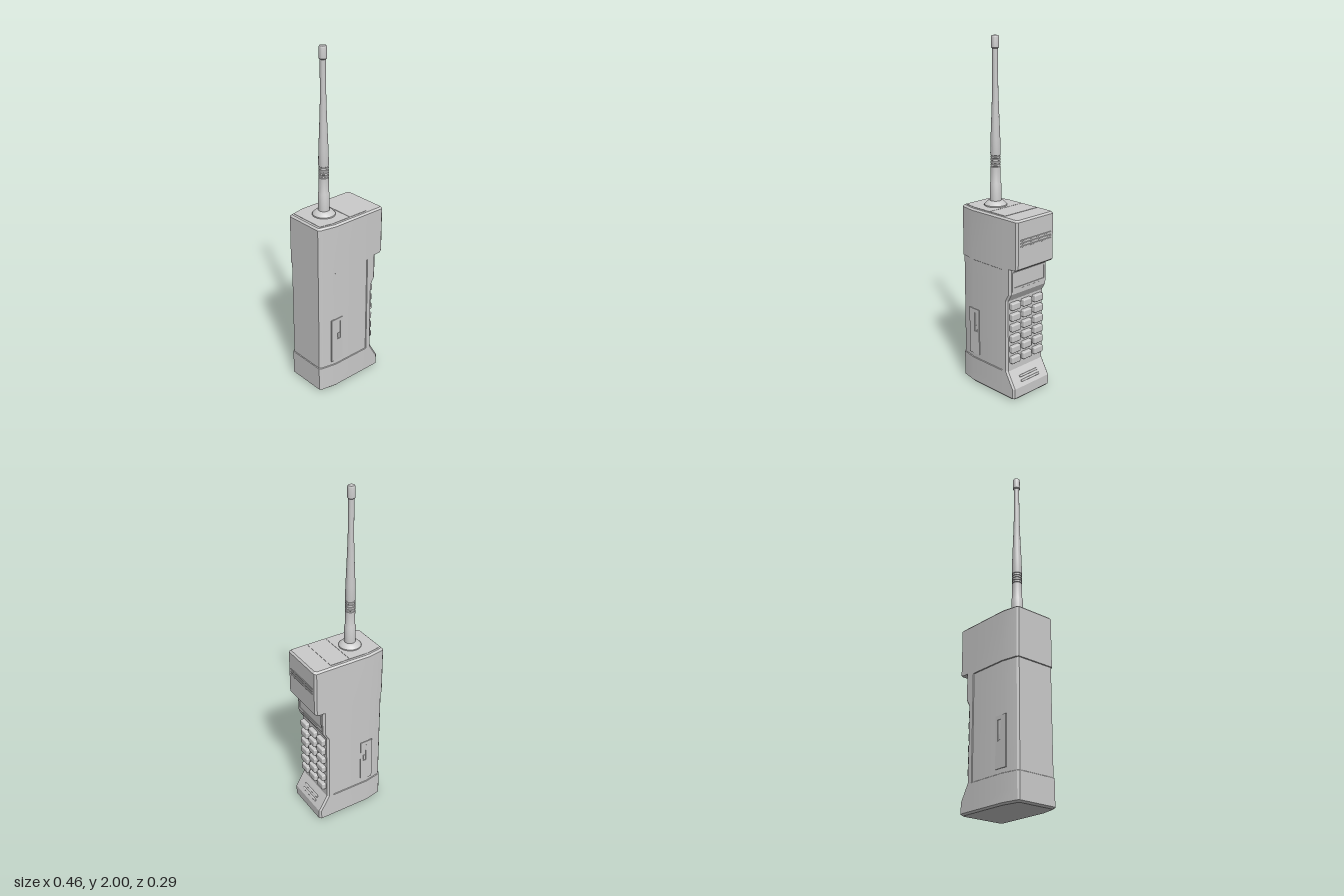
import * as THREE from 'three';
import { toCreasedNormals } from 'three/addons/utils/BufferGeometryUtils.js';
import { RoundedBoxGeometry } from 'three/addons/geometries/RoundedBoxGeometry.js';

const grey = new THREE.MeshStandardMaterial({ color: 0xcccccc });

function add(parent, name, geometry, x = 0, y = 0, z = 0) {
  const mesh = new THREE.Mesh(geometry, grey);
  mesh.name = name;
  mesh.position.set(x, y, z);
  parent.add(mesh);
  return mesh;
}

// Horizontal outline of the case: front = x of the keypad side, e = bevel inset, p = battery panel inset
function section(y, front, e, p) {
  const half = [
    [-0.23 + e + p, 0.118 - e - p], [-0.22 + e + p, 0.127 - e - p], [-0.125, 0.145 - e - p],
    [0.112, 0.145 - e - p], [0.115, 0.145 - e], [front - 0.012 - e, 0.145 - e], [front - e, 0.135 - e],
  ];
  const mirrored = half.map(([x, z]) => [x, -z]).reverse();
  return [...half, ...mirrored].map(([x, z]) => new THREE.Vector3(x, y, z));
}

// Skin stacked outlines, with a cap at both ends
function loft(rings) {
  const pos = [];
  const tri = (...pts) => pts.forEach((v) => pos.push(v.x, v.y, v.z));
  const n = rings[0].length;
  const last = rings.length - 1;
  const middle = (r) => r.reduce((s, v) => s.add(v), new THREE.Vector3()).divideScalar(n);
  const bottom = middle(rings[0]), top = middle(rings[last]);
  for (let i = 0; i < n; i++) {
    const k = (i + 1) % n;
    for (let j = 0; j < last; j++) {
      const a = rings[j][i], b = rings[j][k], c = rings[j + 1][k], d = rings[j + 1][i];
      tri(a, b, c);
      tri(a, c, d);
    }
    tri(bottom, rings[0][k], rings[0][i]);
    tri(top, rings[last][i], rings[last][k]);
  }
  const g = new THREE.BufferGeometry();
  g.setAttribute('position', new THREE.Float32BufferAttribute(pos, 3));
  return toCreasedNormals(g, 0.35);
}

function rectangle(target, w, h, cx = 0, cy = 0) {
  target.moveTo(cx - w / 2, cy - h / 2).lineTo(cx + w / 2, cy - h / 2);
  target.lineTo(cx + w / 2, cy + h / 2).lineTo(cx - w / 2, cy + h / 2).closePath();
  return target;
}

// Flat plate with one rectangular opening
function frame(w, h, hw, hh, hx, hy, depth) {
  const shape = rectangle(new THREE.Shape(), w, h);
  shape.holes.push(rectangle(new THREE.Path(), hw, hh, hx, hy));
  return new THREE.ExtrudeGeometry(shape, { depth, bevelEnabled: false });
}

// Plate lying on the top, outline in x and z
function topPlate(points) {
  const shape = new THREE.Shape(points.map(([x, z]) => new THREE.Vector2(x, z)));
  return new THREE.ExtrudeGeometry(shape, { depth: 0.003, bevelEnabled: false }).rotateX(-Math.PI / 2);
}

export function createModel() {
  const phone = new THREE.Group();
  phone.name = 'mobilePhone';

  // Case: y, front x, bevel, panel inset
  const levels = [
    [0, 0.21, 0.01, 0], [0.01, 0.21, 0, 0], [0.067, 0.21, 0, 0], [0.157, 0.157, 0, 0],
    [0.16, 0.155, 0, 0.004], [0.585, 0.153, 0, 0.004], [0.628, 0.178, 0, 0.004],
    [0.762, 0.178, 0, 0.004], [0.765, 0.178, 0, 0], [0.777, 0.178, 0, 0],
    [0.778, 0.22, 0, 0], [0.788, 0.23, 0, 0], [1.052, 0.23, 0, 0], [1.062, 0.23, 0.01, 0],
  ];
  add(phone, 'case', loft(levels.map((l) => section(...l))));

  // Top cover plates
  add(phone, 'topRearPlate', topPlate([[-0.206, -0.107], [-0.125, -0.122], [-0.006, -0.122],
    [-0.006, 0.122], [-0.125, 0.122], [-0.206, 0.107]].map(([x, z]) => [x, z])), 0, 1.061, 0);
  add(phone, 'topFrontPlate', topPlate([[-0.003, -0.122], [0.116, -0.122], [0.116, 0.122],
    [-0.003, 0.122]]), 0, 1.061, 0);

  // Battery latches on both sides
  for (const side of [1, -1]) {
    const latch = new THREE.Group();
    latch.name = side > 0 ? 'leftLatch' : 'rightLatch';
    latch.position.set(-0.115, 0.325, 0);
    const plate = frame(0.08, 0.28, 0.022, 0.115, 0.013, 0.06, 0.007);
    if (side < 0) plate.translate(0, 0, -0.007);
    add(latch, 'latchPlate', plate, 0, 0, side * 0.138);
    add(latch, 'latchSlider', new THREE.BoxGeometry(0.014, 0.03, 0.008), 0.013, 0.025, side * 0.14);
    phone.add(latch);
  }

  // Keypad, six rows of three
  const keypad = new THREE.Group();
  keypad.name = 'keypad';
  const key = new RoundedBoxGeometry(0.04, 0.042, 0.068, 2, 0.007);
  for (let row = 0; row < 6; row++) {
    for (let col = -1; col <= 1; col++) add(keypad, 'key', key, 0.158, 0.228 + row * 0.0645, col * 0.09);
  }
  phone.add(keypad);

  // Display frame and the lip under it
  const display = add(phone, 'displayFrame', frame(0.264, 0.112, 0.24, 0.08, 0, 0.006, 0.006), 0.176, 0.7, 0);
  display.rotation.y = Math.PI / 2;
  add(phone, 'displayLip', new THREE.BoxGeometry(0.01, 0.014, 0.16), 0.178, 0.648, 0);

  // Earpiece bars
  for (const y of [0.915, 0.932, 0.949]) {
    add(phone, 'earpieceBar', new RoundedBoxGeometry(0.012, 0.008, 0.236, 1, 0.003), 0.228, y, 0);
  }

  // Mouthpiece bars on the sloping chin
  for (const t of [0.3, 0.56]) {
    const bar = add(phone, 'mouthpieceBar', new RoundedBoxGeometry(0.014, 0.013, 0.145, 2, 0.005),
      0.21 - 0.053 * t, 0.067 + 0.09 * t, 0);
    bar.rotation.z = Math.atan2(0.053, 0.09);
  }

  // Antenna collar and mast
  const lathe = (pts, sides) => toCreasedNormals(
    new THREE.LatheGeometry(pts.map(([r, y]) => new THREE.Vector2(r, y)), sides), 0.5);
  add(phone, 'antennaCollar', lathe([[0.066, 1.055], [0.064, 1.07], [0.049, 1.086], [0.036, 1.092],
    [0, 1.092]], 24), -0.085, 0, 0);
  const ribs = [];
  for (let i = 0; i < 5; i++) {
    const y = 1.285 + i * 0.015;
    ribs.push([0.028, y], [0.025, y + 0.002], [0.025, y + 0.005], [0.028, y + 0.007]);
  }
  add(phone, 'antenna', lathe([[0.032, 1.08], [0.032, 1.19], [0.028, 1.2], ...ribs, [0.029, 1.36],
    [0.027, 1.44], [0.021, 1.59], [0.0165, 1.72], [0.016, 1.93], [0.021, 1.935], [0.021, 1.994],
    [0.018, 2], [0, 2]], 24), -0.085, 0, 0);

  return phone;
}
